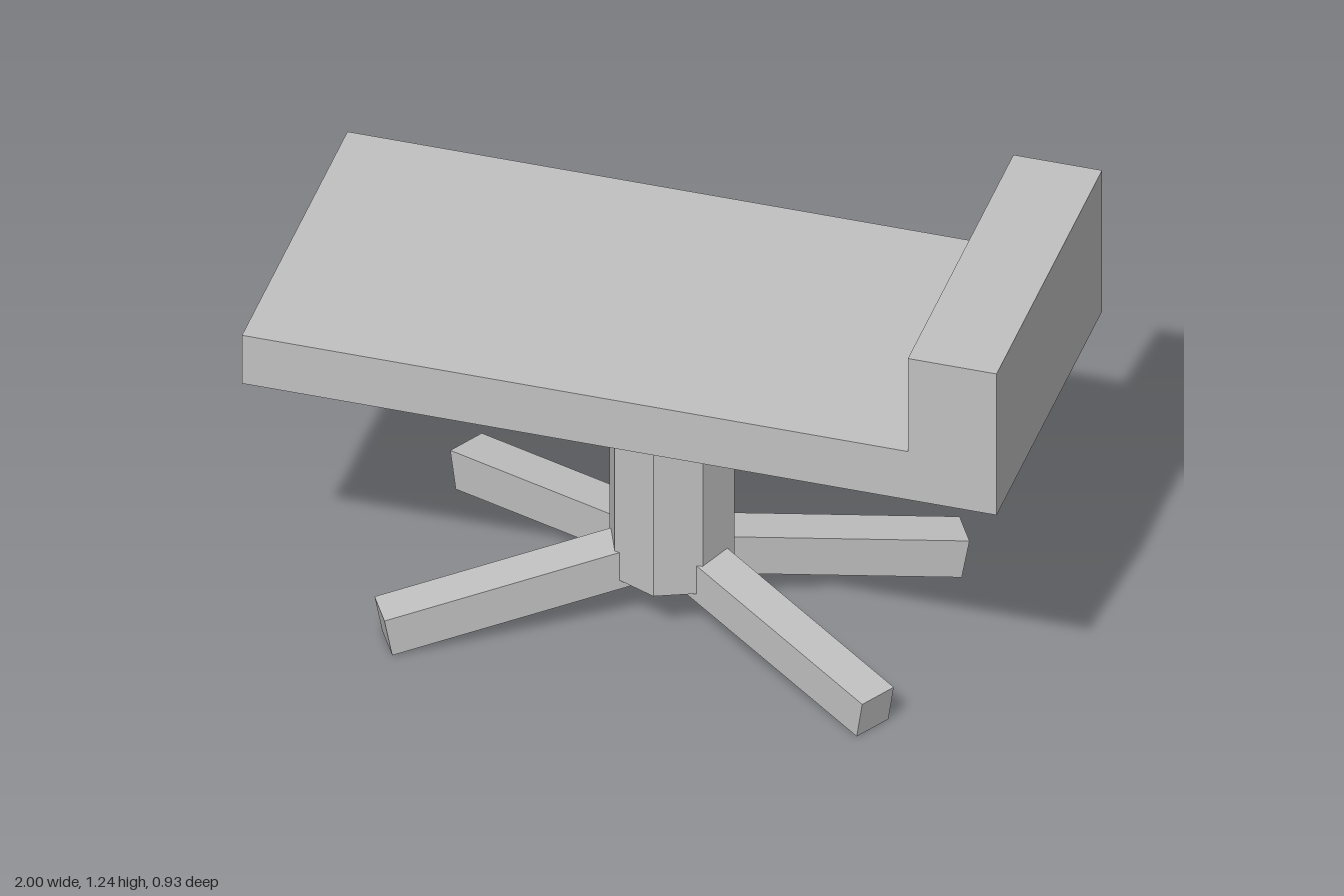
import * as THREE from 'three';

export function createModel() {
  const model = new THREE.Group();
  model.name = 'pedestalBench';
  const grey = new THREE.MeshStandardMaterial({ color: 0xc0c0c0, flatShading: true });
  grey.name = 'grey';

  const add = (name, geometry, y = 0) => {
    const mesh = new THREE.Mesh(geometry, grey);
    mesh.name = name;
    mesh.position.y = y;
    model.add(mesh);
    return mesh;
  };

  // Flat bed with a raised headrest at one end, as a single L profile
  const profile = new THREE.Shape([
    [-1, 0.8], [1, 0.8], [1, 1.24], [0.765, 1.24], [0.765, 0.95], [-1, 0.95],
  ].map(([x, y]) => new THREE.Vector2(x, y)));
  const depth = 0.93;
  const bed = new THREE.ExtrudeGeometry(profile, { depth, bevelEnabled: false });
  bed.translate(0, 0, -depth / 2);
  add('bedAndHeadrest', bed);

  // Octagonal column with a flared collar under the bed
  const base = 0.137, collar = 0.755, top = 0.8;
  add('column', new THREE.CylinderGeometry(0.165, 0.165, collar - base, 8), (base + collar) / 2);
  add('collar', new THREE.CylinderGeometry(0.265, 0.165, top - collar, 8), (top + collar) / 2);

  // Four sloping legs, spread 30 degrees either side of the long axis
  const length = 0.755, height = 0.112, width = 0.11;
  const legGeometry = new THREE.BoxGeometry(length, height, width);
  legGeometry.translate(length / 2, height / 2, 0);
  const spread = Math.PI / 6;
  const angles = { frontLeft: -spread, backLeft: spread, backRight: Math.PI - spread, frontRight: Math.PI + spread };
  for (const [side, angle] of Object.entries(angles)) {
    const leg = add(side + 'Leg', legGeometry, base);
    leg.rotation.set(0, angle, -Math.asin(base / length));
  }
  return model;
}
